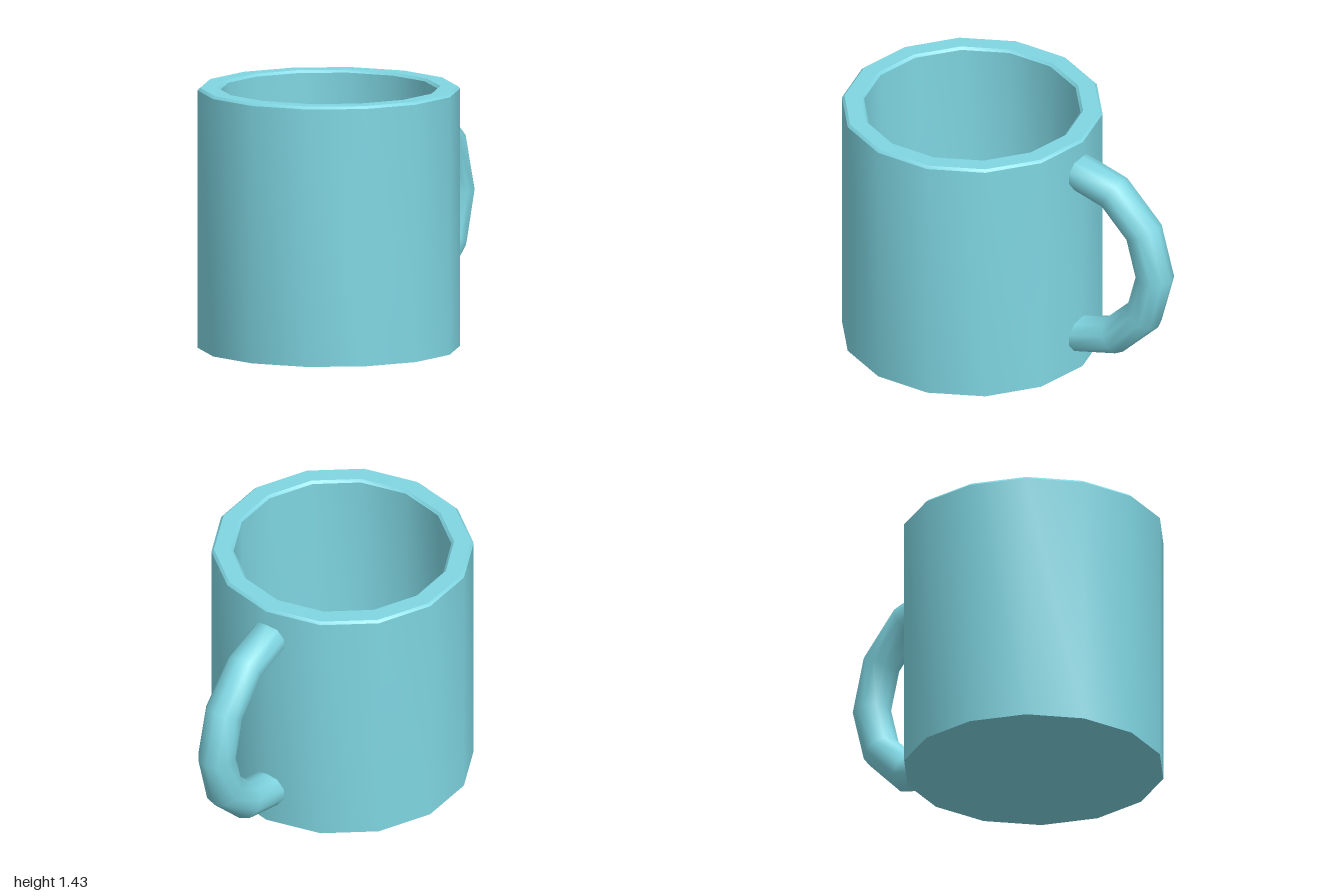
import * as THREE from 'three';
import { toCreasedNormals } from 'three/addons/utils/BufferGeometryUtils.js';

export function createModel() {
  const model = new THREE.Group();
  model.name = 'mug';
  const material = new THREE.MeshStandardMaterial({ color: 0x7fd6e2 });

  const height = 1.43, outer = 0.714, inner = 0.593, bevel = 0.014, floor = 0.1;

  // Cup: one closed profile, from the underside up the wall, over the bevelled rim and down to the inside floor
  const profile = [
    [0, 0], [outer, 0],
    [outer, height - bevel], [outer - bevel, height],
    [inner + bevel, height], [inner, height - bevel],
    [inner, floor], [0, floor],
  ].map(([r, y]) => new THREE.Vector2(r, y));
  const cupGeometry = toCreasedNormals(new THREE.LatheGeometry(profile, 14, Math.PI / 2), Math.PI / 6);
  const cup = new THREE.Mesh(cupGeometry, material);
  cup.name = 'cup';
  cup.position.x = outer - 1;
  model.add(cup);

  // Handle: half ring whose ends are buried in the wall
  const handle = new THREE.Mesh(new THREE.TorusGeometry(0.52, 0.105, 10, 6, Math.PI), material);
  handle.name = 'handle';
  handle.rotation.z = -Math.PI / 2;
  handle.position.set(0.375, height / 2, 0);
  model.add(handle);

  return model;
}
